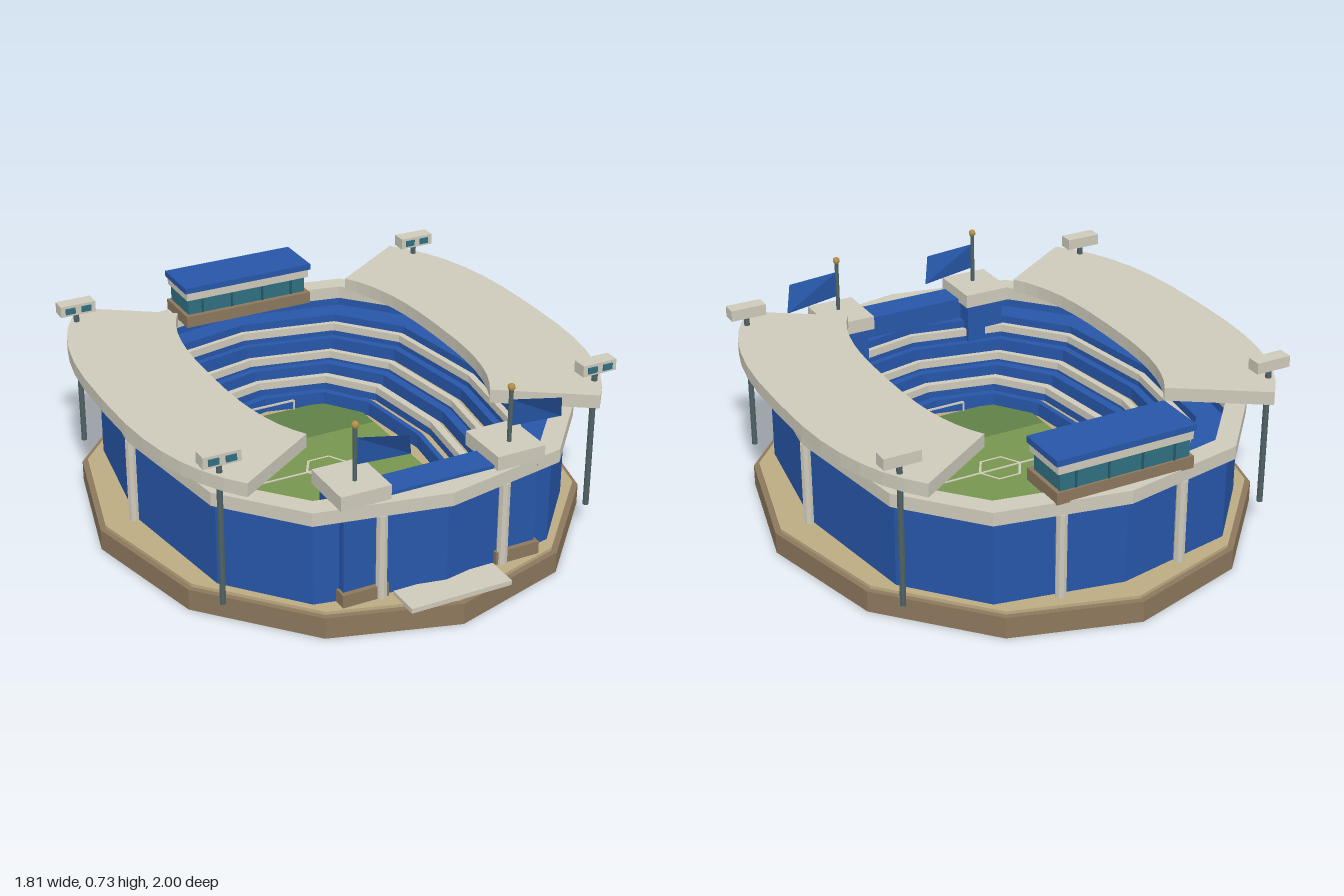
import * as THREE from 'three';

const mat = (color, side = THREE.FrontSide) =>
  new THREE.MeshStandardMaterial({ color, flatShading: true, side });
const M = {
  blue: mat(0x2756a8), cream: mat(0xcdc9ba), tan: mat(0xbcab82), brown: mat(0x8c775c),
  teal: mat(0x2f6f80), steel: mat(0x4f6264), gold: mat(0xb09048), darkTeal: mat(0x245868),
  grass: mat(0x5f8047), grassLight: mat(0x78954f), flag: mat(0x2452a0, THREE.DoubleSide),
};

// Points on a squared-off oval; p = 1 gives a plain ellipse
function oval(rx, rz, a0, a1, n, p = 0.74) {
  const pts = [];
  for (let i = 0; i <= n; i++) {
    const a = a0 + ((a1 - a0) * i) / n, c = Math.cos(a), s = Math.sin(a);
    pts.push(new THREE.Vector2(
      Math.abs(c) < 1e-6 ? 0 : Math.sign(c) * rx * Math.abs(c) ** p,
      Math.abs(s) < 1e-6 ? 0 : Math.sign(s) * rz * Math.abs(s) ** p));
  }
  return pts;
}
const loop = (rx, rz, p) => oval(rx, rz, 0, Math.PI * 2, 12, p).slice(0, 12);

export function createModel() {
  const model = new THREE.Group();

  function add(name, geo, material, x = 0, y = 0, z = 0, parent = model) {
    const mesh = new THREE.Mesh(geo, material);
    mesh.name = name;
    mesh.position.set(x, y, z);
    parent.add(mesh);
    return mesh;
  }
  // Box given by its extents
  const box = (name, m, x0, x1, y0, y1, z0, z1, parent) =>
    add(name, new THREE.BoxGeometry(x1 - x0, y1 - y0, z1 - z0), m,
      (x0 + x1) / 2, (y0 + y1) / 2, (z0 + z1) / 2, parent);
  // Upright prism from a plan outline with an optional hole
  function prism(name, m, outline, y0, y1, hole) {
    const shape = new THREE.Shape(outline);
    if (hole) shape.holes.push(new THREE.Path(hole));
    const geo = new THREE.ExtrudeGeometry(shape, { depth: y1 - y0, bevelEnabled: false });
    geo.rotateX(Math.PI / 2);
    return add(name, geo, m, 0, y1, 0);
  }
  const post = (name, m, r, x, y0, y1, z, n = 8, parent = model) =>
    add(name, new THREE.CylinderGeometry(r, r, y1 - y0, n), m, x, (y0 + y1) / 2, z, parent);

  // Ground
  prism('base', M.brown, loop(0.905, 1, 1), 0, 0.08);
  prism('plaza', M.tan, loop(0.885, 0.978, 1), 0.08, 0.092);

  // Pitch with mown bands and markings
  box('pitch', M.grass, -0.33, 0.33, 0.09, 0.1, -0.49, 0.49);
  box('pitchBand', M.grassLight, -0.33, 0.33, 0.1, 0.102, -0.245, 0.245);
  box('halfwayLine', M.cream, -0.33, 0.33, 0.102, 0.105, -0.004, 0.004);
  const circle = new THREE.RingGeometry(0.08, 0.09, 6);
  circle.rotateX(-Math.PI / 2);
  add('centreCircle', circle, M.cream, 0, 0.105, 0);
  for (const s of [-1, 1]) {
    for (const x of [-0.1, 0.1]) post('goalPost', M.cream, 0.004, x, 0.1, 0.14, s * 0.485, 6);
    box('goalBar', M.cream, -0.1, 0.1, 0.137, 0.143, s * 0.485 - 0.004, s * 0.485 + 0.004);
  }

  // Seating tiers: depth radius in, out, height, top finish
  const rx = (rz) => (rz < 0.56 ? 0.405 - (0.56 - rz) * 0.7 : 0.405 + (rz - 0.56) * 1.2);
  const tiers = [
    [0.53, 0.56, 0.15, 'blue'], [0.56, 0.59, 0.13, 'tan'], [0.59, 0.615, 0.19, 'cream'],
    [0.615, 0.635, 0.17, 'tan'], [0.635, 0.665, 0.22, 'blue'], [0.665, 0.685, 0.26, 'cream'],
    [0.685, 0.7, 0.25, 'tan'], [0.7, 0.725, 0.3, 'blue'], [0.725, 0.745, 0.35, 'cream'],
    [0.745, 0.83, 0.38, 'blue'],
  ];
  for (const [r0, r1, y, top] of tiers) {
    const outer = loop(rx(r1), r1), inner = loop(rx(r0), r0);
    const cap = top === 'cream' ? 0.03 : 0.012;
    prism('tierRiser', M.blue, outer, 0.092, y - cap, inner);
    prism('tierTop', M[top], outer, y - cap, y, inner);
  }

  // Outer wall, rim and columns
  prism('outerWall', M.blue, loop(0.765, 0.88), 0.092, 0.41, loop(0.729, 0.83));
  prism('rim', M.cream, loop(0.79, 0.91), 0.41, 0.46, loop(0.729, 0.83));
  for (const s of [-1, 1]) {
    post('column', M.cream, 0.02, s * 0.775, 0.092, 0.41, 0);
    for (const z of [-0.85, 0.85]) post('column', M.cream, 0.02, s * 0.235, 0.092, 0.41, z);
  }

  // Side canopies
  for (const s of [-1, 1]) {
    const q = Math.PI / 4;
    const outline = [...oval(0.868, 0.975, -q, q, 14), ...oval(0.46, 0.7, q, -q, 14)];
    prism('canopy', M.cream, outline.map((v) => new THREE.Vector2(s * v.x, v.y)), 0.54, 0.59);
  }

  // Floodlights
  for (const x of [-0.72, 0.72]) for (const z of [-0.647, 0.645]) {
    const light = new THREE.Group();
    light.name = 'floodlight';
    light.position.set(x, 0, z);
    model.add(light);
    post('lightPole', M.steel, 0.011, 0, 0.09, 0.635, 0, 8, light);
    box('lightHead', M.cream, -0.068, 0.068, 0.628, 0.67, -0.028, 0.028, light);
    for (const dx of [-0.031, 0.031])
      box('lamp', M.teal, dx - 0.019, dx + 0.019, 0.637, 0.66, 0.026, 0.033, light);
  }

  // Press box at the back
  box('boothFloor', M.brown, -0.265, 0.265, 0.455, 0.5, -0.868, -0.67);
  box('boothGlass', M.teal, -0.25, 0.25, 0.5, 0.57, -0.86, -0.69);
  for (const x of [-0.19, -0.065, 0.065, 0.19])
    box('mullion', M.darkTeal, x - 0.004, x + 0.004, 0.5, 0.57, -0.863, -0.687);
  box('boothEave', M.cream, -0.26, 0.26, 0.565, 0.597, -0.866, -0.675);
  box('boothRoof', M.blue, -0.268, 0.268, 0.597, 0.62, -0.87, -0.67);

  // Front entrance
  box('entranceStep', M.cream, -0.193, 0.193, 0.09, 0.108, 0.86, 0.985);
  box('entranceBridge', M.blue, -0.21, 0.21, 0.39, 0.472, 0.715, 0.83);

  // Gate towers with flags
  const flagGeo = new THREE.BufferGeometry();
  flagGeo.setAttribute('position', new THREE.Float32BufferAttribute(
    [0, 0.67, 0, 0, 0.57, 0, 0.22, 0.548, -0.018, 0.188, 0.645, 0.025], 3));
  flagGeo.setIndex([0, 1, 2, 0, 2, 3]);
  flagGeo.computeVertexNormals();
  for (const x of [-0.295, 0.295]) {
    const tower = new THREE.Group();
    tower.name = 'gateTower';
    tower.position.x = x;
    model.add(tower);
    box('towerBase', M.brown, -0.086, 0.086, 0.09, 0.14, 0.67, 0.857, tower);
    box('towerBody', M.blue, -0.076, 0.076, 0.09, 0.47, 0.665, 0.838, tower);
    box('towerCap', M.cream, -0.093, 0.093, 0.46, 0.513, 0.642, 0.852, tower);
    post('flagPole', M.steel, 0.008, 0, 0.51, 0.715, 0.77, 8, tower);
    add('finial', new THREE.SphereGeometry(0.014, 8, 6), M.gold, 0, 0.717, 0.77, tower);
    add('flag', flagGeo, M.flag, 0, 0, 0.77, tower);
  }
  return model;
}
